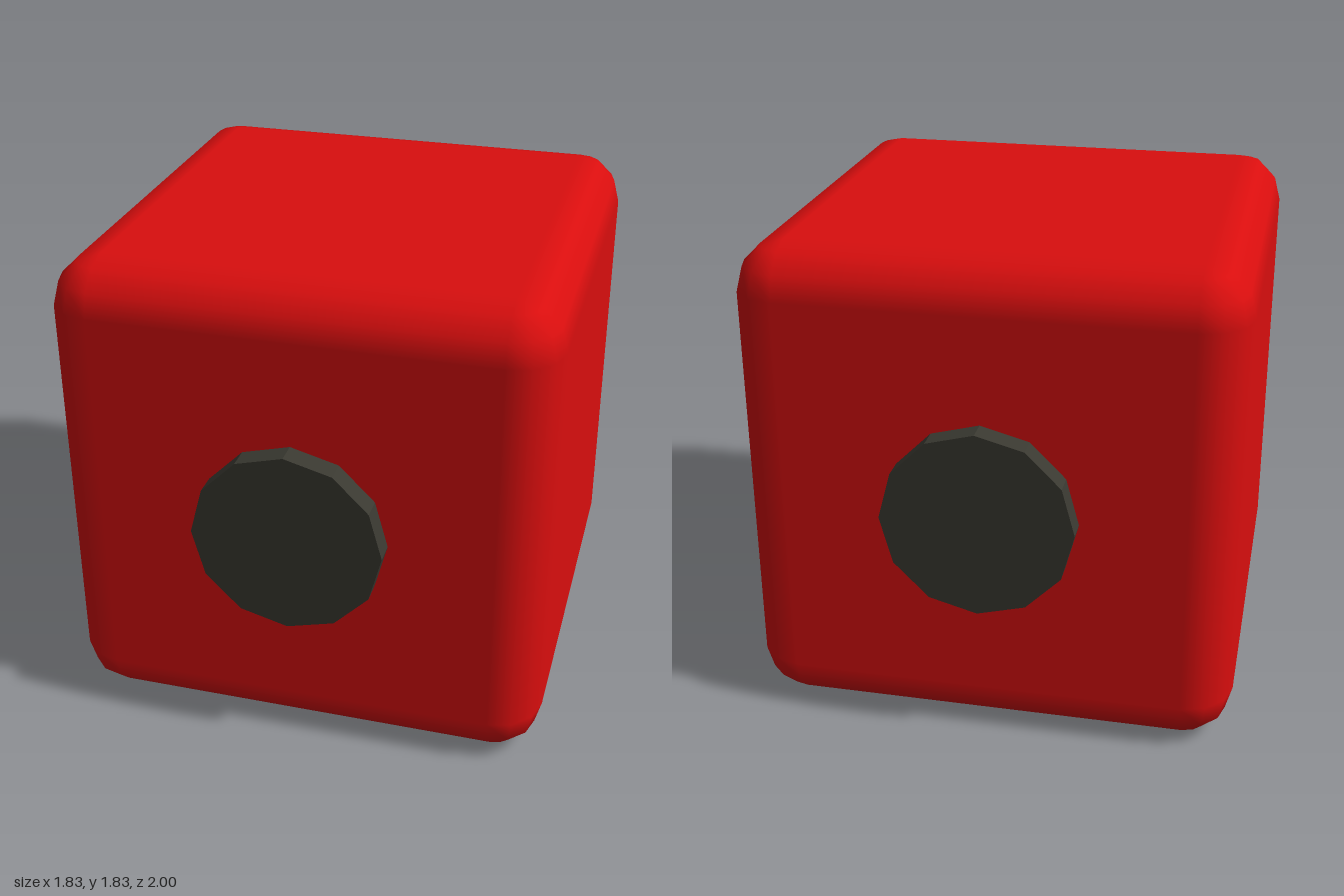
import * as THREE from 'three';

// Smooth rounded box: a sphere grid pulled apart into eight corner patches, with flat caps
function roundedBox(half, r) {
  const geo = new THREE.SphereGeometry(1, 16, 9);
  const pos = geo.attributes.position, nor = geo.attributes.normal;
  const core = half - r;
  for (let row = 0; row <= 9; row++) {
    const upper = row < 5;
    const step = upper ? Math.max(row - 1, 0) : Math.min(row - 5, 3);
    const lat = (upper ? Math.PI / 2 : 0) - step * Math.PI / 6;
    for (let col = 0; col <= 16; col++) {
      const i = row * 17 + col, c = col % 16, q = Math.floor(c / 4);
      const phi = q * Math.PI / 2 + (c % 4) * Math.PI / 6;
      const mid = q * Math.PI / 2 + Math.PI / 4;
      const nx = -Math.cos(phi) * Math.cos(lat);
      const ny = Math.sin(lat);
      const nz = Math.sin(phi) * Math.cos(lat);
      const y = (upper ? core : -core) + r * ny;
      if (row === 0 || row === 9) pos.setXYZ(i, 0, y, 0); // cap centre
      else pos.setXYZ(i, -Math.sign(Math.cos(mid)) * core + r * nx, y, Math.sign(Math.sin(mid)) * core + r * nz);
      nor.setXYZ(i, nx, ny, nz);
    }
  }
  return geo;
}

export function createModel() {
  const group = new THREE.Group();
  const red = new THREE.MeshStandardMaterial({ color: 0xd90e0e });
  red.name = 'red';
  const charcoal = new THREE.MeshStandardMaterial({ color: 0x3a3931 });
  charcoal.name = 'charcoal';

  // Rounded cube body
  const body = new THREE.Mesh(roundedBox(0.915, 0.18), red);
  body.name = 'body';
  body.position.y = 0.917;
  group.add(body);

  // Twelve-sided pegs on the front and back
  const pegGeo = new THREE.CylinderGeometry(0.353, 0.353, 0.2, 12).toNonIndexed();
  pegGeo.rotateX(Math.PI / 2);
  pegGeo.computeVertexNormals();
  for (const [name, side] of [['frontPeg', 1], ['backPeg', -1]]) {
    const peg = new THREE.Mesh(pegGeo, charcoal);
    peg.name = name;
    peg.position.set(0, 0.905, side * 0.9);
    group.add(peg);
  }
  return group;
}
